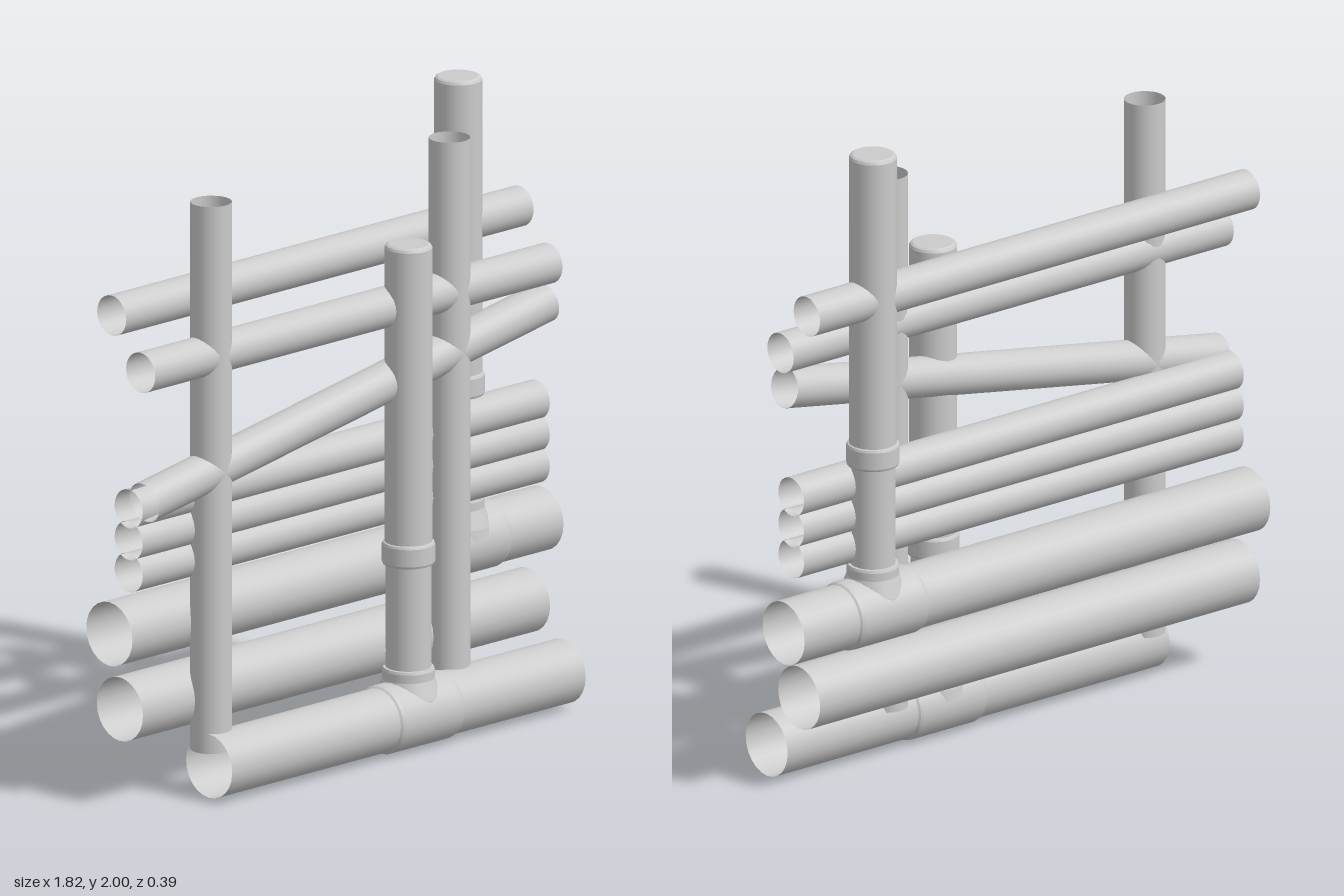
import * as THREE from 'three';

const SIDES = 24;
const material = new THREE.MeshStandardMaterial({ color: 0xcccccc, side: THREE.DoubleSide });

export function createModel() {
  const model = new THREE.Group();
  model.name = 'pipeRack';

  function add(parent, name, geometry) {
    const mesh = new THREE.Mesh(geometry, material);
    mesh.name = name;
    parent.add(mesh);
    return mesh;
  }

  // Open pipe between two points
  function pipe(parent, name, radius, from, to) {
    const a = new THREE.Vector3(...from);
    const b = new THREE.Vector3(...to);
    const dir = b.clone().sub(a);
    const mesh = add(parent, name, new THREE.CylinderGeometry(radius, radius, dir.length(), SIDES, 1, true));
    mesh.position.copy(a).add(b).multiplyScalar(0.5);
    mesh.quaternion.setFromUnitVectors(new THREE.Vector3(0, 1, 0), dir.normalize());
    return mesh;
  }

  // Turned part with crisp profile corners: each segment is its own band
  function turned(parent, name, profile) {
    const group = new THREE.Group();
    group.name = name;
    for (let i = 0; i < profile.length - 1; i++) {
      const pts = [profile[i], profile[i + 1]].map(([r, y]) => new THREE.Vector2(r, y));
      add(group, name + 'Band', new THREE.LatheGeometry(pts, SIDES));
    }
    parent.add(group);
    return group;
  }

  // Main pipe with a tee fitting and a socketed, capped riser
  function branchedMain(name, { y, z, x0, x1, teeX, collarY, topY }) {
    const group = new THREE.Group();
    group.name = name;
    model.add(group);
    pipe(group, 'mainPipe', 0.1, [x0, y, z], [x1, y, z]);

    const sleeve = turned(group, 'teeSleeve', [
      [0.1, -0.134], [0.105, -0.128], [0.107, -0.118],
      [0.107, 0.118], [0.105, 0.128], [0.1, 0.134],
    ]);
    sleeve.rotation.z = -Math.PI / 2;
    sleeve.position.set(teeX, y, z);

    // Flared neck of the tee
    const riserZ = z - Math.sign(z) * 0.005;
    const neck = turned(group, 'teeNeck', [
      [0.105, 0.02], [0.099, 0.055], [0.08, 0.11], [0.08, 0.136], [0.077, 0.144], [0.068, 0.145],
    ]);
    neck.position.set(teeX, y, riserZ);

    pipe(group, 'lowerRiser', 0.069, [teeX, y + 0.09, riserZ], [teeX, collarY + 0.02, riserZ]);

    const collar = turned(group, 'socketCollar', [
      [0.069, -0.035], [0.078, -0.034], [0.081, -0.027], [0.081, 0.027], [0.078, 0.034], [0.073, 0.036],
    ]);
    collar.position.set(teeX, collarY, riserZ);

    const riser = turned(group, 'upperRiser', [
      [0.073, collarY], [0.073, topY - 0.012], [0.069, topY - 0.004], [0.062, topY], [0, topY],
    ]);
    riser.position.set(teeX, 0, riserZ);
  }

  branchedMain('frontMain', { y: 0.109, z: 0.09, x0: -0.66, x1: 0.83, teeX: 0.185, collarY: 0.612, topY: 1.58 });
  branchedMain('backMain', { y: 0.538, z: -0.085, x0: -0.91, x1: 0.907, teeX: 0.555, collarY: 1.035, topY: 2 });

  // Unbranched thick pipe
  pipe(model, 'lowerPipe', 0.1, [-0.89, 0.303, -0.06], [0.826, 0.303, -0.06]);

  // Bank of three thin pipes
  for (const y of [0.74, 0.84, 0.94]) {
    pipe(model, 'bankPipe', 0.061, [-0.89, y, -0.022], [0.826, y, -0.022]);
  }

  // Upright open poles
  for (const x of [-0.608, 0.397]) {
    pipe(model, 'uprightPole', 0.063, [x, 0.145, 0.045], [x, 1.863, 0.045]);
  }

  // Upper rails and the sloping rail
  pipe(model, 'backRail', 0.063, [-0.902, 1.537, -0.083], [0.815, 1.537, -0.083]);
  pipe(model, 'frontRail', 0.063, [-0.902, 1.383, 0.042], [0.815, 1.383, 0.042]);
  pipe(model, 'slopingRail', 0.063, [-0.889, 0.973, 0.045], [0.797, 1.266, 0.045]);

  return model;
}
